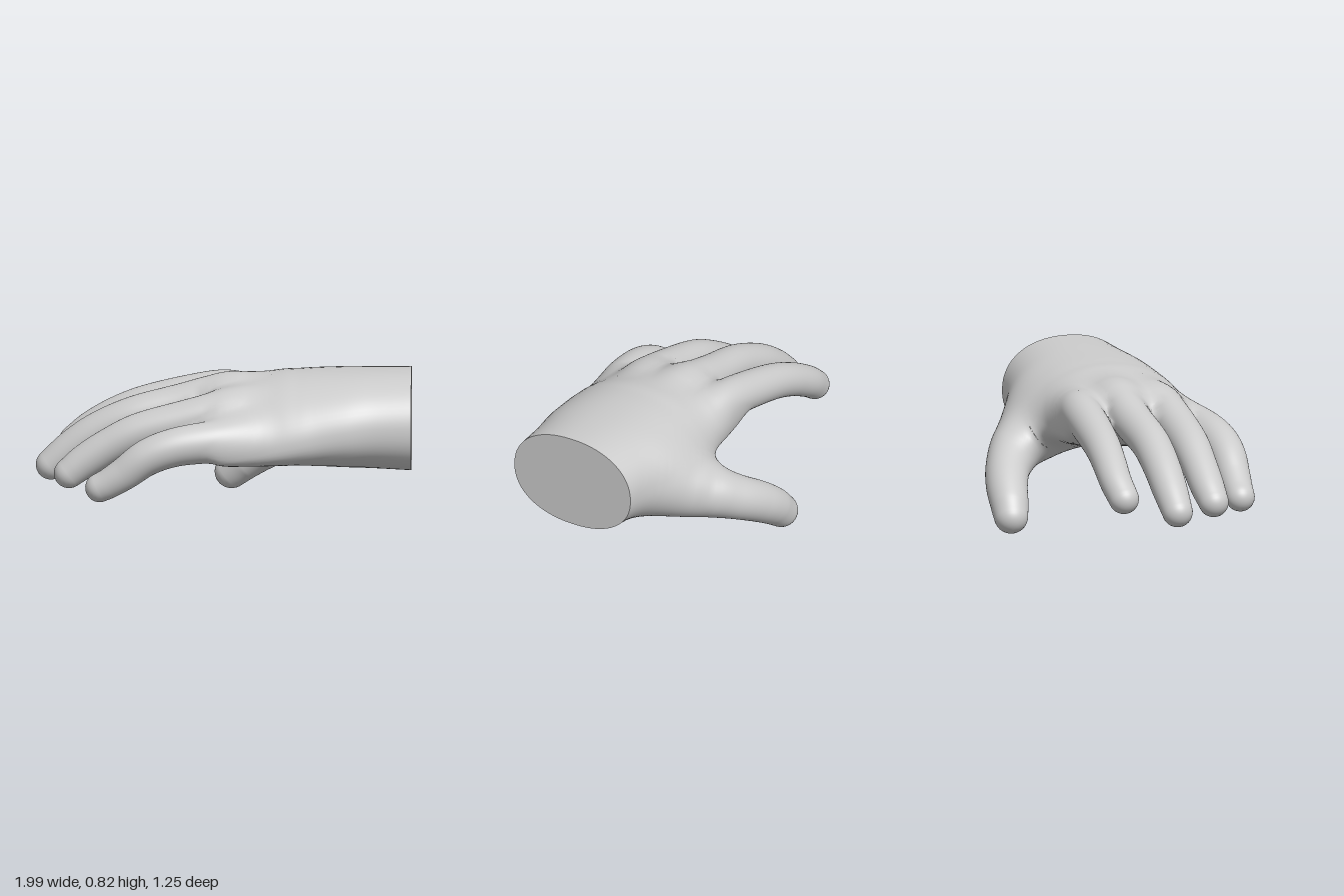
import * as THREE from 'three';

const SIDES = 64;
const material = new THREE.MeshStandardMaterial({ color: 0xcccccc, roughness: 0.8 });
const spline = (points) =>
  new THREE.CatmullRomCurve3(points.map((p) => new THREE.Vector3(...p)), false, 'catmullrom', 0.5);

// Palm stations: [x, zMin, zMax, top, middle height, bottom], wrist to finger webs.
const PALM = [
  [0.995, -0.19, 0.53, 0.82, 0.55, 0.29],
  [0.80, -0.23, 0.54, 0.815, 0.55, 0.30],
  [0.65, -0.265, 0.565, 0.81, 0.54, 0.31],
  [0.50, -0.275, 0.58, 0.805, 0.54, 0.33],
  [0.40, -0.272, 0.59, 0.80, 0.545, 0.35],
  [0.30, -0.265, 0.592, 0.795, 0.55, 0.365],
  [0.15, -0.255, 0.588, 0.77, 0.555, 0.395],
  [0.00, -0.24, 0.583, 0.735, 0.56, 0.435],
  [-0.07, -0.22, 0.56, 0.70, 0.58, 0.475],
  [-0.12, -0.19, 0.52, 0.66, 0.595, 0.52],
  [-0.15, -0.15, 0.48, 0.62, 0.60, 0.58],
];

// Digit stations: [x, y, z, radius], from deep inside the palm to the round tip.
const DIGITS = {
  indexFinger: [
    [0.28, 0.58, -0.08, 0.08],
    [0.12, 0.615, -0.135, 0.098],
    [0.00, 0.63, -0.155, 0.106],
    [-0.20, 0.595, -0.18, 0.103],
    [-0.42, 0.54, -0.208, 0.096],
    [-0.57, 0.48, -0.23, 0.09],
    [-0.70, 0.405, -0.246, 0.085],
    [-0.797, 0.33, -0.24, 0.08],
  ],
  middleFinger: [
    [0.28, 0.61, 0.09, 0.085],
    [0.12, 0.65, 0.075, 0.103],
    [0.00, 0.66, 0.065, 0.111],
    [-0.24, 0.60, 0.055, 0.106],
    [-0.47, 0.54, 0.05, 0.102],
    [-0.66, 0.455, 0.034, 0.098],
    [-0.80, 0.36, 0.023, 0.093],
    [-0.917, 0.262, 0.018, 0.081],
  ],
  ringFinger: [
    [0.28, 0.58, 0.28, 0.08],
    [0.12, 0.62, 0.295, 0.10],
    [0.00, 0.625, 0.308, 0.107],
    [-0.24, 0.565, 0.302, 0.105],
    [-0.45, 0.505, 0.288, 0.10],
    [-0.60, 0.43, 0.275, 0.094],
    [-0.73, 0.345, 0.266, 0.09],
    [-0.82, 0.275, 0.266, 0.08],
  ],
  littleFinger: [
    [0.26, 0.51, 0.42, 0.08],
    [0.12, 0.52, 0.465, 0.10],
    [-0.05, 0.505, 0.50, 0.11],
    [-0.25, 0.48, 0.52, 0.103],
    [-0.40, 0.425, 0.52, 0.097],
    [-0.52, 0.335, 0.507, 0.088],
    [-0.60, 0.28, 0.496, 0.081],
    [-0.655, 0.25, 0.488, 0.077],
  ],
  thumb: [
    [0.78, 0.51, 0.07, 0.10],
    [0.70, 0.475, -0.03, 0.14],
    [0.57, 0.42, -0.19, 0.162],
    [0.45, 0.37, -0.33, 0.143],
    [0.32, 0.295, -0.437, 0.12],
    [0.20, 0.222, -0.495, 0.111],
    [0.10, 0.15, -0.523, 0.102],
    [0.035, 0.09, -0.54, 0.09],
  ],
};

const outline = spline(PALM.map((s) => s.slice(0, 3)));
const heights = spline(PALM.map((s) => s.slice(3)));
const sections = Array.from({ length: 101 }, (_, i) =>
  [...outline.getPoint(i / 100).toArray(), ...heights.getPoint(i / 100).toArray()]);

// Bones: centre line and radius sampled along each digit.
const bones = {};
for (const [name, stations] of Object.entries(DIGITS)) {
  const path = spline(stations.map((s) => s.slice(0, 3)));
  const radius = spline(stations.map((s) => [s[3], 0, 0]));
  bones[name] = Array.from({ length: 41 }, (_, i) => ({
    c: path.getPoint(i / 40), t: path.getTangent(i / 40), r: radius.getPoint(i / 40).x,
  }));
}

// The little-finger side of the palm droops more toward the knuckles.
const droop = (x, z) =>
  0.11 * (1 - THREE.MathUtils.smoothstep(x, -0.05, 0.75)) * ((z - 0.05) / 0.5) ** 2;
const POWER = 2.2;

function palmRing([x, zMin, zMax, top, middle, bottom]) {
  const round = (v) => Math.sign(v) * Math.abs(v) ** (2 / POWER);
  return Array.from({ length: SIDES }, (_, j) => {
    const a = (j / SIDES) * Math.PI * 2, s = round(Math.sin(a));
    const z = (zMin + zMax) / 2 + round(Math.cos(a)) * (zMax - zMin) / 2;
    const y = middle + s * (s > 0 ? top - middle : middle - bottom);
    return new THREE.Vector3(x, y - droop(x, z), z);
  });
}

// Approximate distance from a point to the palm surface.
function palmDistance(p) {
  const last = sections.length - 1, end = sections[last][0];
  const x = THREE.MathUtils.clamp(p.x, end, sections[0][0]);
  const i = Math.min(Math.max(sections.findIndex((s) => s[0] <= x), 1), last);
  const a = sections[i - 1], b = sections[i], f = (x - a[0]) / (b[0] - a[0]);
  const [zMin, zMax, top, middle, bottom] = [1, 2, 3, 4, 5].map((k) => a[k] + (b[k] - a[k]) * f);
  const dz = p.z - (zMin + zMax) / 2, dy = p.y + droop(x, p.z) - middle;
  const v = dy / (dy > 0 ? top - middle : middle - bottom), u = dz / ((zMax - zMin) / 2);
  const rho = Math.max((Math.abs(u) ** POWER + Math.abs(v) ** POWER) ** (1 / POWER), 0.01);
  const d = Math.hypot(dz, dy) * (1 - 1 / rho);
  return end > p.x ? Math.hypot(Math.max(d, 0), end - p.x) : d;
}

// Distance to a digit, taken as a chain of tapered capsules.
function digitDistance(p, bone) {
  let best = Infinity;
  for (let i = 1; i < bone.length; i++) {
    const a = bone[i - 1], b = bone[i];
    const ex = b.c.x - a.c.x, ey = b.c.y - a.c.y, ez = b.c.z - a.c.z;
    const px = p.x - a.c.x, py = p.y - a.c.y, pz = p.z - a.c.z;
    const s = Math.min(Math.max((px * ex + py * ey + pz * ez) / (ex * ex + ey * ey + ez * ez), 0), 1);
    best = Math.min(best, Math.hypot(px - ex * s, py - ey * s, pz - ez * s) - a.r - (b.r - a.r) * s);
  }
  return best;
}

// Union with a soft fillet of size k.
function blend(a, b, k) {
  const h = Math.max(k - Math.abs(a - b), 0) / k;
  return Math.min(a, b) - h * h * k / 4;
}

const fingers = Object.keys(bones).filter((name) => name !== 'thumb').map((name) => bones[name]);
function skin(p) {
  const all = fingers.map((bone) => digitDistance(p, bone)).reduce((a, b) => blend(a, b, 0.04));
  return blend(blend(palmDistance(p), all, 0.09), digitDistance(p, bones.thumb), 0.17);
}

function skinGradient(p) {
  const e = 0.004;
  const slope = (x, y, z) =>
    (skin(new THREE.Vector3(p.x + x, p.y + y, p.z + z)) -
      skin(new THREE.Vector3(p.x - x, p.y - y, p.z - z))) / (2 * e);
  return new THREE.Vector3(slope(e, 0, 0), slope(0, e, 0), slope(0, 0, e));
}

// Loft closed rings, then settle the vertices near the joints onto the shared skin.
function loft(rings) {
  const positions = [], normals = [], index = [];
  for (const p of rings.flat()) {
    const buried = skin(p) < -0.1;
    for (let step = 0; step < 12 && !buried; step++) {
      const d = skin(p);
      if (Math.abs(d) < 0.0003) break;
      const g = skinGradient(p);
      p.addScaledVector(g, -d / Math.max(g.lengthSq(), 0.3));
    }
    positions.push(...p.toArray());
    normals.push(...skinGradient(p).normalize().toArray());
  }
  for (let i = 0; i < rings.length - 1; i++) {
    for (let j = 0; j < SIDES; j++) {
      const a = i * SIDES + j, b = i * SIDES + (j + 1) % SIDES;
      index.push(a, b, a + SIDES, b, b + SIDES, a + SIDES);
    }
  }
  const geometry = new THREE.BufferGeometry();
  geometry.setAttribute('position', new THREE.Float32BufferAttribute(positions, 3));
  geometry.setAttribute('normal', new THREE.Float32BufferAttribute(normals, 3));
  return geometry.setIndex(index);
}

function digit(bone) {
  const ringAt = ({ c, t, r }, along, scale) => {
    const side = new THREE.Vector3(0, 1, 0).cross(t).normalize(), up = t.clone().cross(side);
    return Array.from({ length: SIDES }, (_, j) => {
      const a = (j / SIDES) * Math.PI * 2;
      return c.clone().addScaledVector(t, r * along)
        .addScaledVector(side, Math.cos(a) * r * scale).addScaledVector(up, Math.sin(a) * r * scale);
    });
  };
  const rings = bone.map((b) => ringAt(b, 0, 1));
  for (let i = 1; i <= 8; i++) {
    const a = (i / 8) * Math.PI / 2;
    rings.push(ringAt(bone[bone.length - 1], Math.sin(a), Math.cos(a)));
  }
  return loft(rings);
}

export function createModel() {
  const hand = new THREE.Group();
  hand.name = 'hand';
  const add = (name, geometry) => {
    const mesh = new THREE.Mesh(geometry, material);
    mesh.name = name;
    hand.add(mesh);
  };
  add('palm', loft(sections.map(palmRing)));
  for (const [name, bone] of Object.entries(bones)) add(name, digit(bone));
  // Flat cut closing the wrist.
  const cut = new THREE.Shape(palmRing(PALM[0]).map((p) => new THREE.Vector2(-p.z, p.y)));
  add('wristCut', new THREE.ShapeGeometry(cut).rotateY(Math.PI / 2).translate(PALM[0][0], 0, 0));
  return hand;
}
